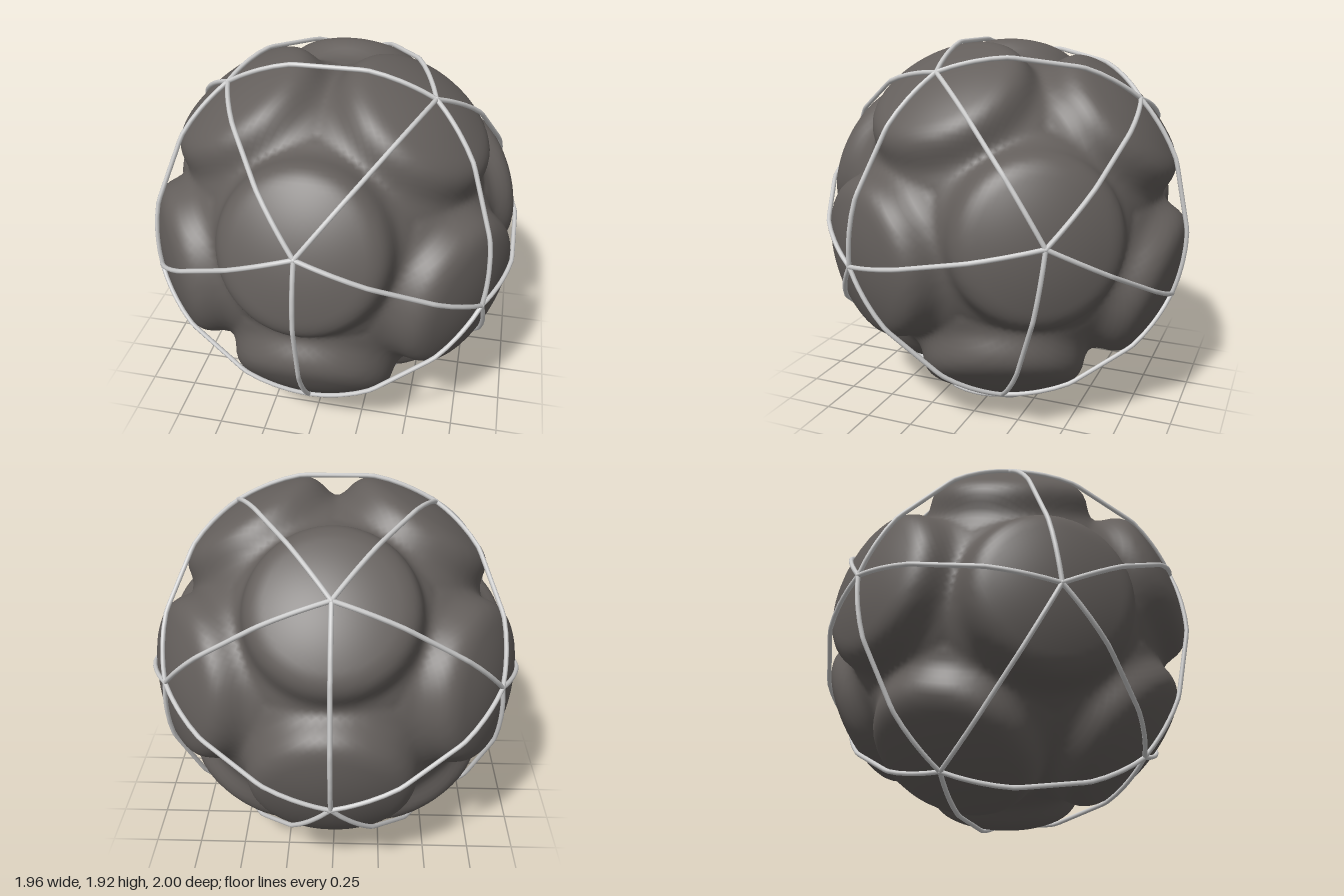
import * as THREE from 'three';
import { mergeVertices } from 'three/addons/utils/BufferGeometryUtils.js';

const PHI = (1 + Math.sqrt(5)) / 2;
const CAP_ANGLE = THREE.MathUtils.degToRad(21);
const WIRE_RADIUS = 0.987;

// The twelve lobe directions
function lobeDirections() {
  const dirs = [];
  for (const a of [-1, 1]) for (const b of [-PHI, PHI]) {
    dirs.push(new THREE.Vector3(0, a, b), new THREE.Vector3(a, b, 0), new THREE.Vector3(b, 0, a));
  }
  return dirs.map((d) => d.normalize());
}

// Body radius by angle (degrees) from the nearest lobe centre: flat cap, rounded rim, valley
const PROFILE = [[0, 0.976], [20, 0.976], [22.5, 0.97], [24.5, 0.956], [26.5, 0.93], [28.5, 0.893], [30, 0.873], [32, 0.86], [38, 0.84]];
function bodyRadius(angle) {
  const deg = THREE.MathUtils.radToDeg(angle);
  let i = 1;
  while (i < PROFILE.length - 1 && deg > PROFILE[i][0]) i++;
  const [a0, r0] = PROFILE[i - 1], [a1, r1] = PROFILE[i];
  return THREE.MathUtils.lerp(r0, r1, (deg - a0) / (a1 - a0));
}

// Sphere swollen into twelve broad lobes
function createBody(dirs) {
  let geo = new THREE.IcosahedronGeometry(1, 40);
  geo.deleteAttribute('uv');
  geo.deleteAttribute('normal');
  geo = mergeVertices(geo, 1e-4);
  const pos = geo.attributes.position;
  const v = new THREE.Vector3();
  for (let i = 0; i < pos.count; i++) {
    v.fromBufferAttribute(pos, i).normalize();
    const dot = Math.max(...dirs.map((d) => d.dot(v)));
    v.multiplyScalar(bodyRadius(Math.acos(Math.min(1, dot))));
    pos.setXYZ(i, v.x, v.y, v.z);
  }
  geo.computeVertexNormals();
  return new THREE.Mesh(geo, new THREE.MeshStandardMaterial({ color: 0x645f5c }));
}

// Wire that follows both caps and runs straight across the gap between them
function createWire(a, b, material) {
  const total = a.angleTo(b);
  const axis = new THREE.Vector3().crossVectors(a, b).normalize();
  const at = (t) => a.clone().applyAxisAngle(axis, t).multiplyScalar(WIRE_RADIUS);
  const path = new THREE.CurvePath();
  const points = [];
  for (let i = 0; i <= 4; i++) points.push(at((CAP_ANGLE * i) / 4));
  for (let i = 4; i >= 0; i--) points.push(at(total - (CAP_ANGLE * i) / 4));
  for (let i = 1; i < points.length; i++) path.add(new THREE.LineCurve3(points[i - 1], points[i]));
  return new THREE.Mesh(new THREE.TubeGeometry(path, 28, 0.012, 8), material);
}

export function createModel() {
  const model = new THREE.Group();
  const ball = new THREE.Group();
  ball.name = 'lobedBall';
  ball.position.y = 0.953;
  ball.rotation.x = 0.203;
  model.add(ball);

  const dirs = lobeDirections();
  const body = createBody(dirs);
  body.name = 'lobedBody';
  ball.add(body);

  // Wire cage joining neighbouring lobe centres
  const cage = new THREE.Group();
  cage.name = 'wireCage';
  ball.add(cage);
  const wireMaterial = new THREE.MeshStandardMaterial({ color: 0xcccccc });
  const jointGeo = new THREE.SphereGeometry(0.014, 10, 8);
  dirs.forEach((a, i) => {
    const joint = new THREE.Mesh(jointGeo, wireMaterial);
    joint.name = 'wireJoint';
    joint.position.copy(a).multiplyScalar(WIRE_RADIUS);
    cage.add(joint);
    for (const b of dirs.slice(i + 1)) {
      if (a.dot(b) < 0.4) continue;
      const wire = createWire(a, b, wireMaterial);
      wire.name = 'wire';
      cage.add(wire);
    }
  });
  return model;
}
